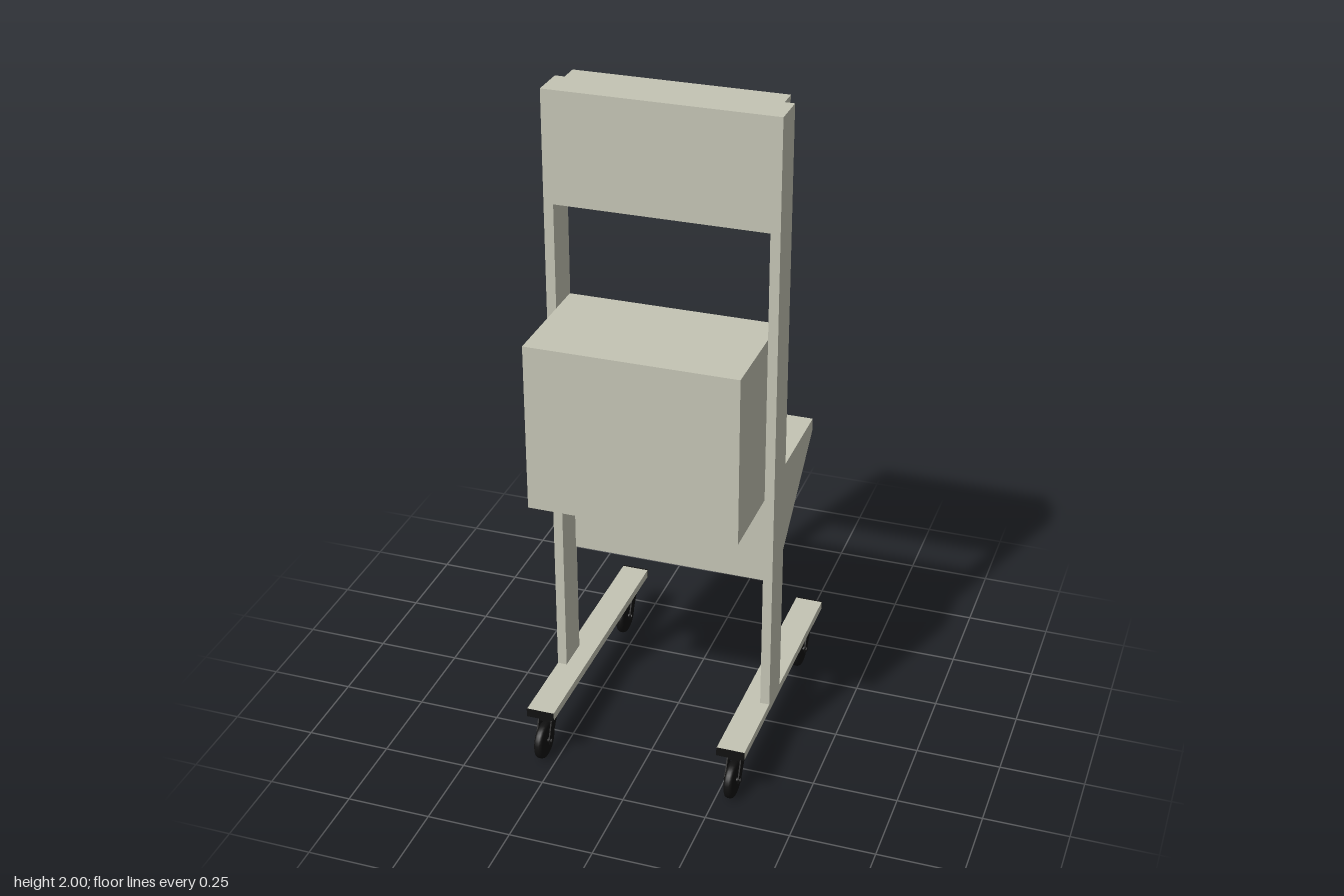
import * as THREE from 'three';

const body = new THREE.MeshStandardMaterial({ color: 0xc4c4b4 });
const black = new THREE.MeshStandardMaterial({ color: 0x111111 });
const grey = new THREE.MeshStandardMaterial({ color: 0x444648 });
const T = 0.004; // sheet thickness
const W = 0.305; // half width between the posts

function add(parent, name, geometry, material, x = 0, y = 0, z = 0) {
  const mesh = new THREE.Mesh(geometry, material);
  mesh.name = name;
  mesh.position.set(x, y, z);
  parent.add(mesh);
  return mesh;
}

// box given by its limits on each axis
function block(parent, name, [x0, x1], [y0, y1], [z0, z1], material = body) {
  return add(parent, name, new THREE.BoxGeometry(x1 - x0, y1 - y0, z1 - z0), material,
    (x0 + x1) / 2, (y0 + y1) / 2, (z0 + z1) / 2);
}

// side profile of [z, y] points extruded across x, centred on x
function prism(parent, name, points, width, material = body, x = 0) {
  const shape = new THREE.Shape(points.map(p => new THREE.Vector2(...p)));
  const geometry = new THREE.ExtrudeGeometry(shape, { depth: width, bevelEnabled: false });
  geometry.translate(0, 0, -width / 2).rotateY(-Math.PI / 2);
  return add(parent, name, geometry, material, x);
}

// swivel caster, origin on the floor below the pivot, wheel trailing to +z
function caster() {
  const g = new THREE.Group();
  g.name = 'caster';
  const disc = (name, r, h, y) => add(g, name, new THREE.CylinderGeometry(r, r, h, 24), black, 0, y, 0);
  block(g, 'mountPlate', [-0.03, 0.03], [0.142, 0.15], [-0.043, 0.043], black);
  disc('swivelBearing', 0.026, 0.012, 0.137);
  disc('swivelStem', 0.018, 0.012, 0.127);
  block(g, 'forkCrown', [-0.022, 0.022], [0.115, 0.124], [-0.02, 0.028], black);
  for (const s of [-1, 1]) {
    prism(g, 'forkArm', [[-0.018, 0.122], [0.03, 0.048], [0.046, 0.048], [0.05, 0.066], [0.028, 0.122]],
      0.004, black, s * 0.02);
  }
  // rounded tyre turned about the axle
  const profile = [[0, -0.012], [0.048, -0.013], [0.054, -0.01], [0.057, -0.004], [0.057, 0.004],
    [0.054, 0.01], [0.048, 0.013], [0, 0.012]].map(p => new THREE.Vector2(...p));
  add(g, 'wheel', new THREE.LatheGeometry(profile, 32).rotateZ(Math.PI / 2), black, 0, 0.057, 0.038);
  add(g, 'axle', new THREE.CylinderGeometry(0.007, 0.007, 0.05, 12).rotateZ(Math.PI / 2), black, 0, 0.057, 0.038);
  return g;
}

export function createModel() {
  const model = new THREE.Group();
  model.name = 'mobileWorkstation';

  // posts, feet and casters on both sides
  for (const s of [-1, 1]) {
    const span = (a, b) => s > 0 ? [a, b] : [-b, -a];
    block(model, 'post', span(W, 0.333), [0.175, 2], [0.045, 0.152]);
    block(model, 'foot', span(0.25, 0.333), [0.15, 0.175], [-0.425, 0.398]);
    block(model, 'footEndCap', span(0.25, 0.333), [0.15, 0.175], [0.398, 0.402], black);
    block(model, 'footEndCap', span(0.25, 0.333), [0.15, 0.175], [-0.43, -0.425], black);
    for (const z of [0.337, -0.363]) {
      const c = caster();
      c.position.set(s * 0.292, 0, z);
      model.add(c);
    }
  }

  // header with a sloping back
  prism(model, 'header', [[0.152, 1.675], [0.152, 2], [-0.014, 2], [0.045, 1.675]], 2 * W);

  // screen lying on the slope
  const screen = new THREE.Group();
  screen.name = 'screen';
  block(screen, 'screenFrame', [-0.17, 0.17], [-0.14, 0.14], [-0.006, 0.006], grey);
  block(screen, 'display', [-0.157, 0.157], [-0.127, 0.127], [-0.0075, -0.005], black);
  screen.position.set(0, 1.838, 0.0095);
  screen.rotation.x = -Math.atan2(0.059, 0.325);
  model.add(screen);

  // cabinet, open to the back above the tray
  const cabinet = new THREE.Group();
  cabinet.name = 'cabinet';
  block(cabinet, 'cabinetTop', [-W, W], [1.365 - T, 1.365], [0.048, 0.4]);
  block(cabinet, 'cabinetFront', [-W, W], [0.87 - T, 1.365 - T], [0.4 - T, 0.4]);
  block(cabinet, 'cabinetBackBand', [-W, W], [1.272, 1.365 - T], [0.048, 0.048 + T]);
  for (const s of [-1, 1]) {
    add(cabinet, 'cabinetSide', new THREE.BoxGeometry(T, 0.495 - T, 0.352 - T), body,
      s * (W - T / 2), 1.1155, 0.222);
  }
  model.add(cabinet);

  // work surface running into the cabinet, with lip, gussets and apron
  const tray = new THREE.Group();
  tray.name = 'tray';
  block(tray, 'workSurface', [-W, W], [0.87 - T, 0.87], [-0.345, 0.4 - T]);
  block(tray, 'trayLip', [-W, W], [0.83, 0.87 - T], [-0.345, -0.345 + T]);
  block(tray, 'apron', [-W, W], [0.535, 0.87 - T], [0.048, 0.048 + T]);
  for (const s of [-1, 1]) {
    prism(tray, 'gusset', [[0.05, 0.868], [-0.345, 0.868], [-0.345, 0.83], [0, 0.535], [0.05, 0.535]],
      T, body, s * (W - T / 2));
  }
  model.add(tray);

  return model;
}
